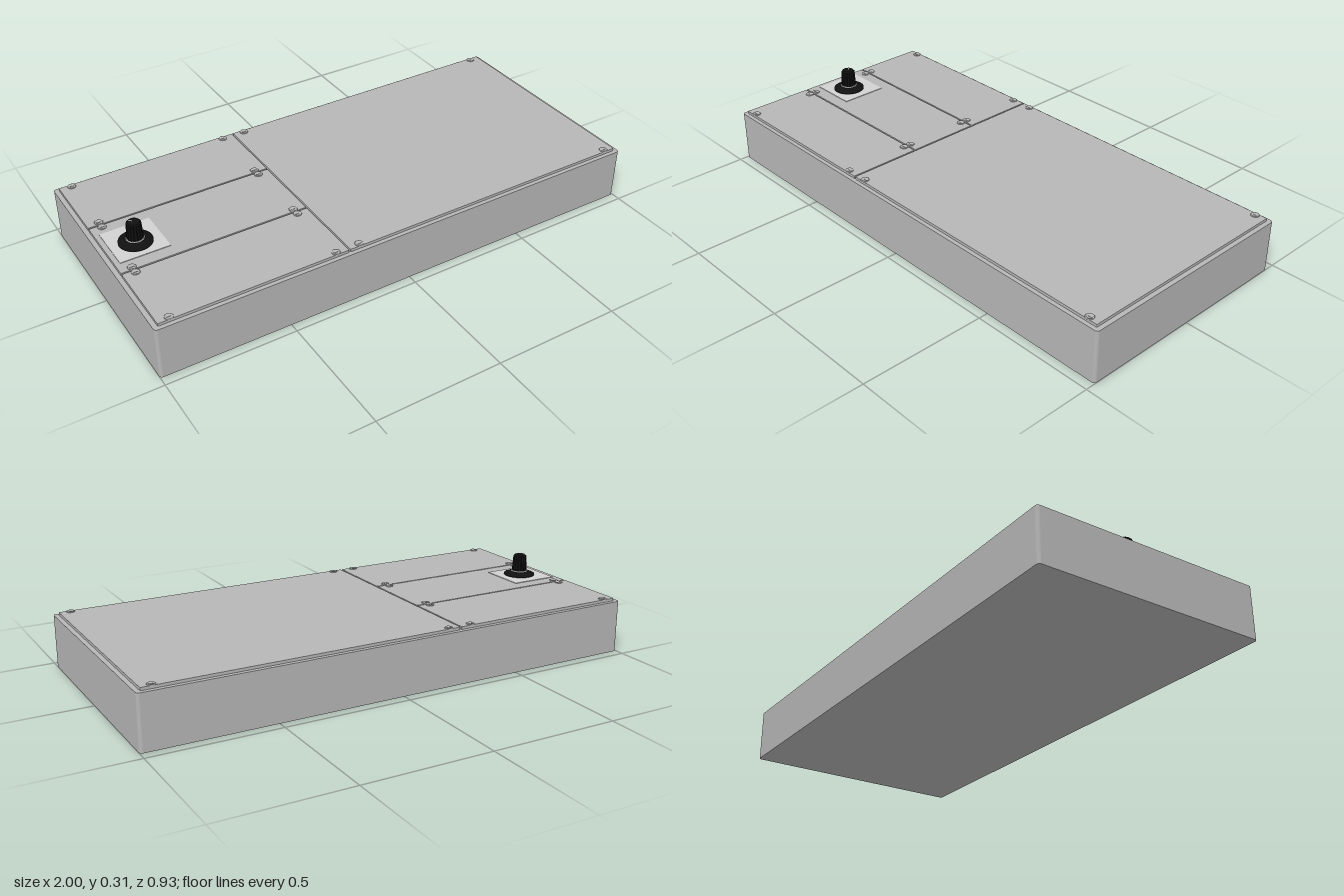
import * as THREE from 'three';

const material = (name, color) => {
  const m = new THREE.MeshStandardMaterial({ color });
  m.name = name;
  return m;
};

// Slab with rounded vertical corners, centred on cx, cz, rising from y
function slab(w, d, h, r, cx, y, cz) {
  const s = new THREE.Shape();
  const x = w / 2, z = d / 2;
  s.moveTo(-x + r, -z);
  s.lineTo(x - r, -z);
  s.absarc(x - r, -z + r, r, -Math.PI / 2, 0);
  s.lineTo(x, z - r);
  s.absarc(x - r, z - r, r, 0, Math.PI / 2);
  s.lineTo(-x + r, z);
  s.absarc(-x + r, z - r, r, Math.PI / 2, Math.PI);
  s.lineTo(-x, -z + r);
  s.absarc(-x + r, -z + r, r, Math.PI, Math.PI * 1.5);
  const g = new THREE.ExtrudeGeometry(s, { depth: h, bevelEnabled: false, curveSegments: 5 });
  return g.rotateX(-Math.PI / 2).translate(cx, y, cz);
}

export function createModel() {
  const grey = material('enclosureGrey', 0xb6b6b6);
  const pale = material('paleGrey', 0xd2d2d2);
  const black = material('knobBlack', 0x111111);
  const white = material('pointerWhite', 0xf4f4f4);

  const model = new THREE.Group();
  model.name = 'controlBox';
  const add = (parent, name, geometry, mat) => {
    const mesh = new THREE.Mesh(geometry, mat);
    mesh.name = name;
    parent.add(mesh);
    return mesh;
  };

  // Enclosure and the cover panels, separated by narrow gaps
  add(model, 'enclosure', slab(2, 0.926, 0.208, 0.012, 0, 0, 0), grey);
  const top = 0.219, gap = 0.006;
  const panels = [
    ['largeCover', -0.25, 0.985, -0.45, 0.45],
    ['backCover', -0.985, -0.25, -0.45, -0.15],
    ['middleCover', -0.985, -0.25, -0.15, 0.15],
    ['frontCover', -0.985, -0.25, 0.15, 0.45],
  ];
  for (const [name, x0, x1, z0, z1] of panels) {
    add(model, name, slab(x1 - x0 - gap, z1 - z0 - gap, top - 0.207, 0.003,
      (x0 + x1) / 2, 0.207, (z0 + z1) / 2), grey);
  }

  // Screws with a raised rim and a recessed slotted head
  const screws = new THREE.Group();
  screws.name = 'screws';
  model.add(screws);
  const rim = new THREE.LatheGeometry([
    [0.016, -0.002], [0.016, 0.002], [0.0145, 0.0035], [0.011, 0.0035], [0.010, 0.001], [0, 0.001],
  ].map(([r, y]) => new THREE.Vector2(r, y)), 20);
  const slot = new THREE.BoxGeometry(0.017, 0.0015, 0.003);
  const addScrew = (x, z) => {
    const screw = new THREE.Group();
    screw.name = 'screw';
    screw.position.set(x, top, z);
    add(screw, 'screwHead', rim, grey);
    add(screw, 'screwBar', slot, grey).position.y = 0.0015;
    screws.add(screw);
  };
  for (const side of [-1, 1]) {
    for (const x of [-0.936, -0.3]) {
      for (const z of [0.134, 0.166, 0.434]) addScrew(x, side * z);
    }
    for (const x of [-0.204, 0.94]) addScrew(x, side * 0.434);
  }

  // Dial plate under the knob
  const knobX = -0.867, knobZ = 0.008;
  add(model, 'dialPlate', new THREE.BoxGeometry(0.192, 0.003, 0.19)
    .translate(knobX, top + 0.001, 0), pale);

  // Rotary knob, turned so that its pointer aims at the back right corner
  const knob = new THREE.Group();
  knob.name = 'knob';
  knob.position.set(knobX, 0, knobZ);
  knob.rotation.y = Math.atan2(-0.62, -0.78);
  model.add(knob);

  const skirt = [[0, 0.2205], [0.063, 0.2205], [0.063, 0.226], [0.036, 0.2375], [0, 0.2375]];
  const skirtGeometry = new THREE.LatheGeometry(skirt.map(p => new THREE.Vector2(...p)), 36);
  add(knob, 'knobSkirt', skirtGeometry, black);
  add(knob, 'knobRing', new THREE.CylinderGeometry(0.032, 0.034, 0.003, 32)
    .translate(0, 0.239, 0), pale);

  // Fluted grip, tapered towards a chamfered top
  const flutes = new THREE.Shape();
  const steps = 64;
  for (let i = 0; i < steps; i++) {
    const a = i / steps * Math.PI * 2;
    const r = i % 4 < 2 ? 0.031 : 0.029;
    flutes[i ? 'lineTo' : 'moveTo'](Math.cos(a) * r, Math.sin(a) * r);
  }
  const grip = new THREE.ExtrudeGeometry(flutes, { depth: 0.062, bevelEnabled: false, steps: 1 })
    .rotateX(-Math.PI / 2).translate(0, 0.24, 0);
  const p = grip.attributes.position;
  for (let i = 0; i < p.count; i++) {
    const s = 1 - (p.getY(i) - 0.24) / 0.062 * 0.12;
    p.setXYZ(i, p.getX(i) * s, p.getY(i), p.getZ(i) * s);
  }
  grip.computeVertexNormals();
  add(knob, 'knobGrip', grip, black);
  add(knob, 'knobCap', new THREE.CylinderGeometry(0.0225, 0.0265, 0.005, 32)
    .translate(0, 0.3045, 0), black);

  // Pointer line over the cap and down the side of the grip
  add(knob, 'pointerTop', new THREE.BoxGeometry(0.003, 0.001, 0.019)
    .translate(0, 0.3072, 0.0135), white);
  add(knob, 'pointerSide', new THREE.BoxGeometry(0.003, 0.06, 0.002)
    .rotateX(-0.06).translate(0, 0.272, 0.0293), white);

  return model;
}
